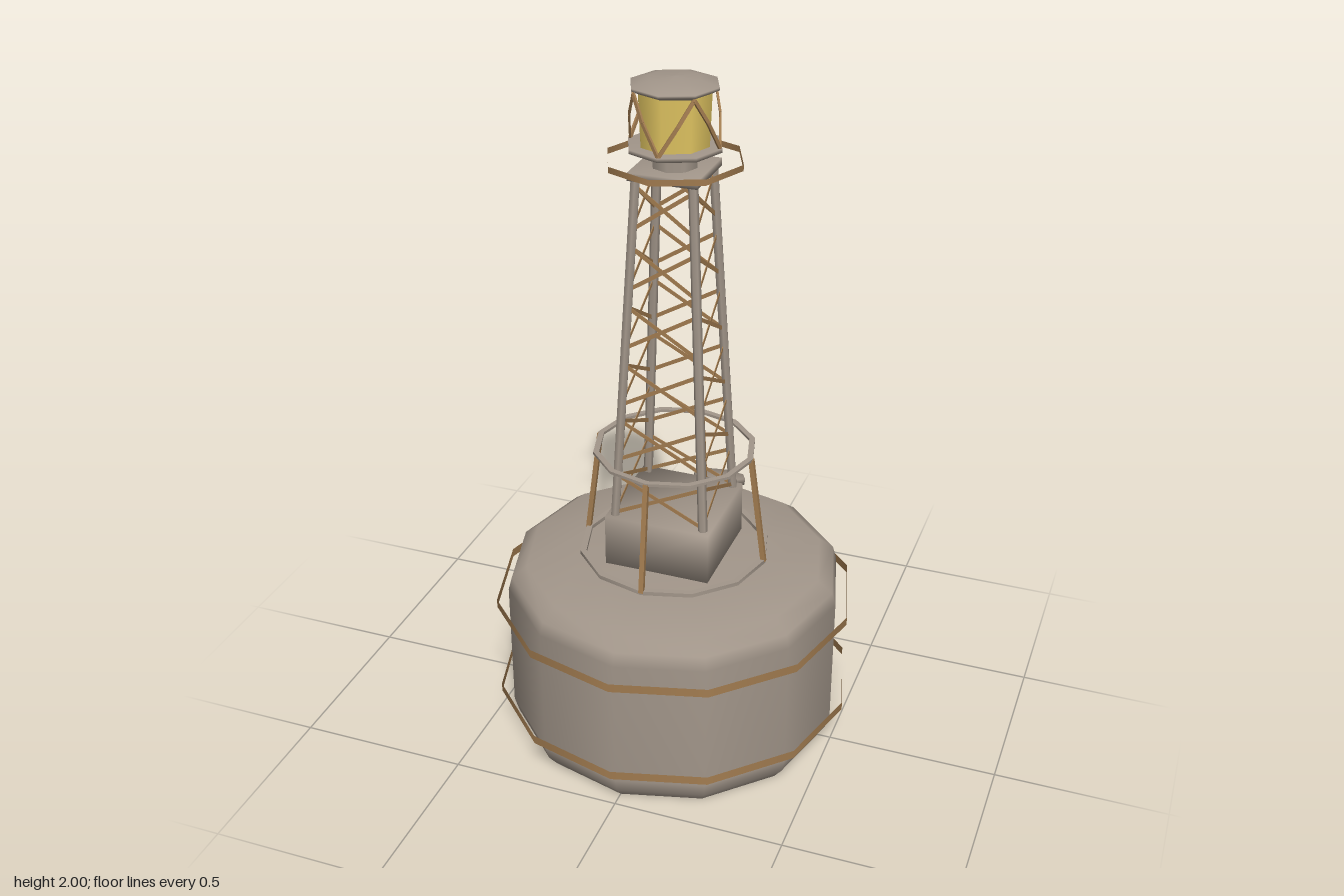
import * as THREE from 'three';
import { mergeVertices, toCreasedNormals } from 'three/addons/utils/BufferGeometryUtils.js';

const material = (name, color, side = THREE.FrontSide) => {
  const m = new THREE.MeshStandardMaterial({ color, side });
  m.name = name;
  return m;
};

export function createModel() {
  const model = new THREE.Group();
  model.name = 'lightBuoy';
  const grey = material('weathered grey', 0xa2968a, THREE.DoubleSide);
  const brown = material('rusty brown', 0xa27c50, THREE.DoubleSide);
  const yellow = material('lamp yellow', 0xe2c662);

  const add = (name, geometry, mat, parent = model) => {
    const mesh = new THREE.Mesh(geometry, mat);
    mesh.name = name;
    parent.add(mesh);
    return mesh;
  };
  const group = (name) => {
    const g = new THREE.Group();
    g.name = name;
    model.add(g);
    return g;
  };
  const lathe = (points, sides) =>
    new THREE.LatheGeometry(points.map(([r, y]) => new THREE.Vector2(r, y)), sides);
  const flatRing = (inner, outer, y0, y1, sides) =>
    toCreasedNormals(lathe([[inner, y0], [outer, y0], [outer, y1], [inner, y1], [inner, y0]], sides), 0.7);
  const hoop = (r, y, h, sides) =>
    new THREE.CylinderGeometry(r, r, h, sides, 1, true).translate(0, y, 0);
  // Box with shared, rounded-off corner normals
  const softBox = (w, h, d) => {
    const g = new THREE.BoxGeometry(w, h, d);
    g.deleteAttribute('normal');
    g.deleteAttribute('uv');
    const merged = mergeVertices(g);
    merged.computeVertexNormals();
    return merged;
  };
  // Straight bar from a to b, its broad side turned towards the compass angle
  const bar = (name, a, b, angle, geometry, mat, parent) => {
    const along = b.clone().sub(a);
    const length = along.length();
    along.normalize();
    const across = along.clone().cross(polar(1, 0, angle)).normalize();
    const mesh = add(name, geometry(length), mat, parent);
    mesh.position.copy(a).add(b).multiplyScalar(0.5);
    mesh.quaternion.setFromRotationMatrix(
      new THREE.Matrix4().makeBasis(across, along, across.clone().cross(along)));
  };
  const rod = (r) => (length) => new THREE.CylinderGeometry(r, r, length, 6);
  const flat = (w, d) => (length) => new THREE.BoxGeometry(w, length, d);
  const polar = (r, y, angle) => new THREE.Vector3(r * Math.sin(angle), y, r * Math.cos(angle));

  // Float body, open underneath
  add('hull', lathe([[0.455, 0], [0.482, 0.035], [0.495, 0.08], [0.495, 0.48], [0.484, 0.52],
    [0.44, 0.553], [0.27, 0.577], [0, 0.58]], 12), grey);
  for (const y of [0.128, 0.434]) add('hullBand', hoop(0.531, y, 0.026, 12), brown);

  // Hatch on the rear shoulder
  const hatch = group('hatch');
  hatch.position.set(0, 0.545, -0.395);
  hatch.rotation.x = -0.33;
  add('hatchNeck', new THREE.CylinderGeometry(0.07, 0.066, 0.08, 8).translate(0, -0.005, 0), grey, hatch);
  add('hatchLid', lathe([[0, 0.032], [0.084, 0.034], [0.084, 0.053], [0, 0.056]], 8), grey, hatch);

  // Guard rail around the pedestal
  const rail = group('guardRail');
  add('lowerRailRing', flatRing(0.262, 0.28, 0.58, 0.592, 12), grey, rail);
  add('upperRailRing', flatRing(0.218, 0.235, 0.91, 0.918, 12), grey, rail);
  for (let i = 0; i < 4; i++) {
    const a = i * Math.PI / 2;
    bar('railPost', polar(0.274, 0.585, a), polar(0.23, 0.914, a), a, flat(0.014, 0.014), brown, rail);
  }

  // Pedestal and lattice tower with flat cross braces
  add('pedestal', softBox(0.312, 0.17, 0.312), grey).position.y = 0.65;
  const tower = group('tower');
  const low = 0.73, high = 1.745;
  const half = (y) => THREE.MathUtils.lerp(0.133, 0.08, (y - low) / (high - low));
  const corner = (y, i) => polar(half(y) * Math.SQRT2, y, Math.PI / 4 + i * Math.PI / 2);
  for (let i = 0; i < 4; i++) {
    const diagonal = Math.PI / 4 + i * Math.PI / 2;
    bar('leg', corner(low, i), corner(high, i), diagonal, rod(0.0135), grey, tower);
    for (let k = 0; k < 6; k++) {
      const y = 0.802 + k * 0.1715, h = 0.06;
      for (const s of [-h, h]) {
        bar('brace', corner(y - s, i), corner(y + s, i + 1), diagonal + Math.PI / 4, flat(0.011, 0.002), brown, tower);
      }
    }
  }
  add('towerPlate', softBox(0.195, 0.022, 0.195), grey).position.y = 1.748;

  // Lantern
  const lantern = group('lantern');
  add('lanternNeck', new THREE.CylinderGeometry(0.063, 0.063, 0.055, 8).translate(0, 1.785, 0), grey, lantern);
  add('lanternHoop', hoop(0.19, 1.775, 0.017, 8), brown, lantern);
  add('lanternBase', lathe([[0.06, 1.803], [0.131, 1.809], [0.131, 1.82], [0, 1.823]], 8), grey, lantern);
  add('lampGlass', new THREE.CylinderGeometry(0.103, 0.097, 0.15, 8).translate(0, 1.895, 0), yellow, lantern);
  add('lanternCap', lathe([[0, 1.963], [0.1, 1.963], [0.122, 1.974], [0.122, 1.981], [0.07, 1.996], [0, 2]], 8), grey, lantern);

  // Zigzag cage, bowed slightly outward
  for (let i = 0; i < 4; i++) {
    const top = (i + 0.5) * Math.PI / 2;
    for (const foot of [i * Math.PI / 2, (i + 1) * Math.PI / 2]) {
      const a = polar(0.125, 1.82, foot);
      const c = polar(0.117, 1.968, top);
      const b = a.clone().lerp(c, 0.55).multiply(new THREE.Vector3(1.06, 1, 1.06));
      const facing = (foot + top) / 2;
      bar('cageBar', a, b, facing, flat(0.01, 0.006), brown, lantern);
      bar('cageBar', b, c, facing, flat(0.01, 0.006), brown, lantern);
    }
  }
  return model;
}
